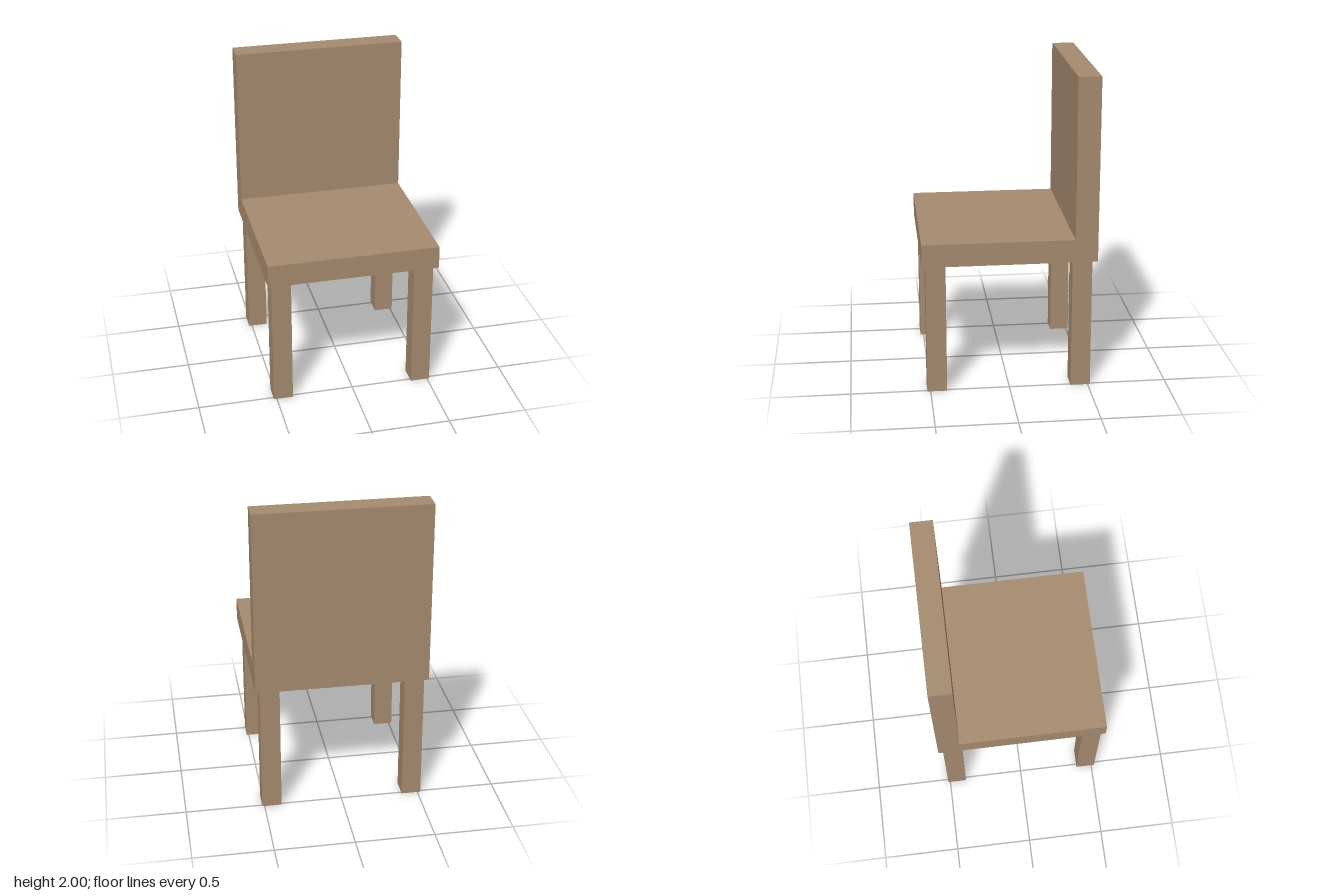
import * as THREE from 'three';

const HALF = 0.543;        // half width and half depth of the seat
const SEAT_BOTTOM = 0.84;
const SEAT_TOP = 0.985;
const BACK_FRONT = -0.402; // z of the backrest's front face
const LEG = 0.124;

export function createModel() {
  const chair = new THREE.Group();
  chair.name = 'chair';

  const wood = new THREE.MeshStandardMaterial({ color: 0xa58a6e });
  wood.name = 'wood';

  // Seat and backrest: one L-shaped side profile (z, y) extruded across the width
  const profile = new THREE.Shape([
    [-HALF, SEAT_BOTTOM], [HALF, SEAT_BOTTOM], [HALF, SEAT_TOP],
    [BACK_FRONT, SEAT_TOP], [BACK_FRONT, 2], [-HALF, 2],
  ].map(([z, y]) => new THREE.Vector2(z, y)));
  const body = new THREE.ExtrudeGeometry(profile, { depth: HALF * 2, bevelEnabled: false });
  body.rotateY(-Math.PI / 2).translate(HALF, 0, 0);
  const seat = new THREE.Mesh(body, wood);
  seat.name = 'seatAndBackrest';
  chair.add(seat);

  // Four square legs, set slightly in from the seat edges
  const legGeometry = new THREE.BoxGeometry(LEG, SEAT_BOTTOM, LEG);
  for (const [side, x] of [['Left', 0.452], ['Right', -0.458]]) {
    for (const [end, z] of [['front', 0.458], ['back', -0.452]]) {
      const leg = new THREE.Mesh(legGeometry, wood);
      leg.name = `${end}${side}Leg`;
      leg.position.set(x, SEAT_BOTTOM / 2, z);
      chair.add(leg);
    }
  }
  return chair;
}
